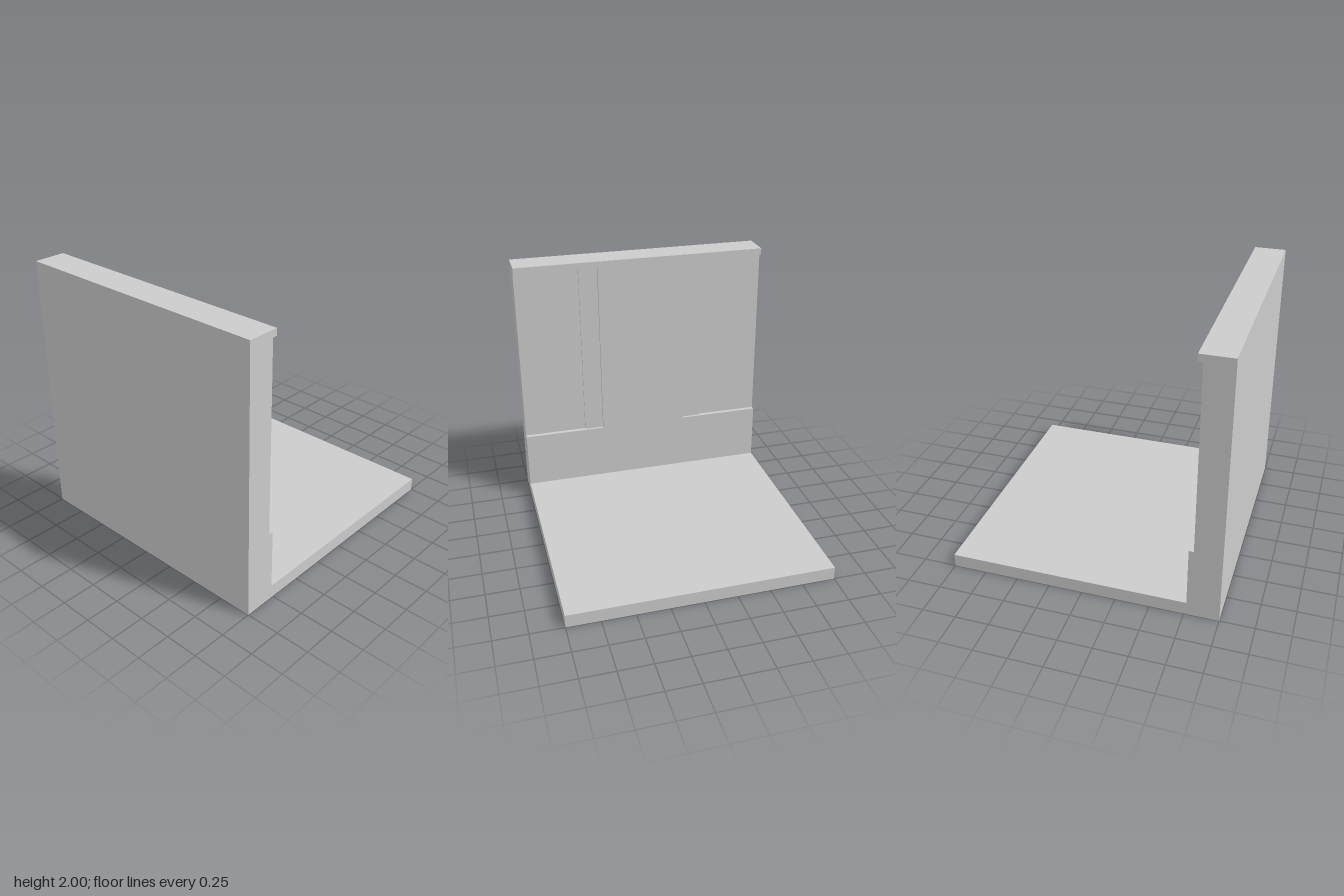
import * as THREE from 'three';

const BACK = -1, FACE = -0.765, STRIP = -0.785, PANEL = -0.8; // wall depths along x
const FLOOR_TOP = 0.1, RECESS_BOTTOM = 0.55, RECESS_TOP = 1.95, TOP = 2;

const material = new THREE.MeshStandardMaterial({ color: 0xcccccc, flatShading: true });

function extrude(name, points, depth) {
  const shape = new THREE.Shape(points.map(([x, y]) => new THREE.Vector2(x, y)));
  const mesh = new THREE.Mesh(new THREE.ExtrudeGeometry(shape, { depth, bevelEnabled: false }), material);
  mesh.name = name;
  return mesh;
}

export function createModel() {
  const model = new THREE.Group();
  model.name = 'wallAndFloor';

  // Floor slab with the plain lower wall, one L-shaped profile run along z
  const base = extrude('floorAndLowerWall', [
    [BACK, 0], [1, 0], [1, FLOOR_TOP], [FACE, FLOOR_TOP], [FACE, RECESS_BOTTOM], [BACK, RECESS_BOTTOM],
  ], 2);
  base.position.z = -1;

  // Middle wall: flush centre, stepping back to a strip and then a panel on each side
  const half = [[FACE, 0.35], [STRIP, 0.35], [STRIP, 0.5], [PANEL, 0.5], [PANEL, 1], [BACK, 1]];
  const mirrored = half.map(([x, z]) => [x, -z]).reverse();
  const middle = extrude('recessedWall', [...mirrored, ...half], RECESS_TOP - RECESS_BOTTOM);
  middle.geometry.rotateX(-Math.PI / 2);
  middle.position.y = RECESS_BOTTOM;

  // Top rail overhanging the recesses
  const rail = new THREE.Mesh(new THREE.BoxGeometry(FACE - BACK, TOP - RECESS_TOP, 2), material);
  rail.name = 'topRail';
  rail.position.set((FACE + BACK) / 2, (TOP + RECESS_TOP) / 2, 0);

  model.add(base, middle, rail);
  return model;
}
